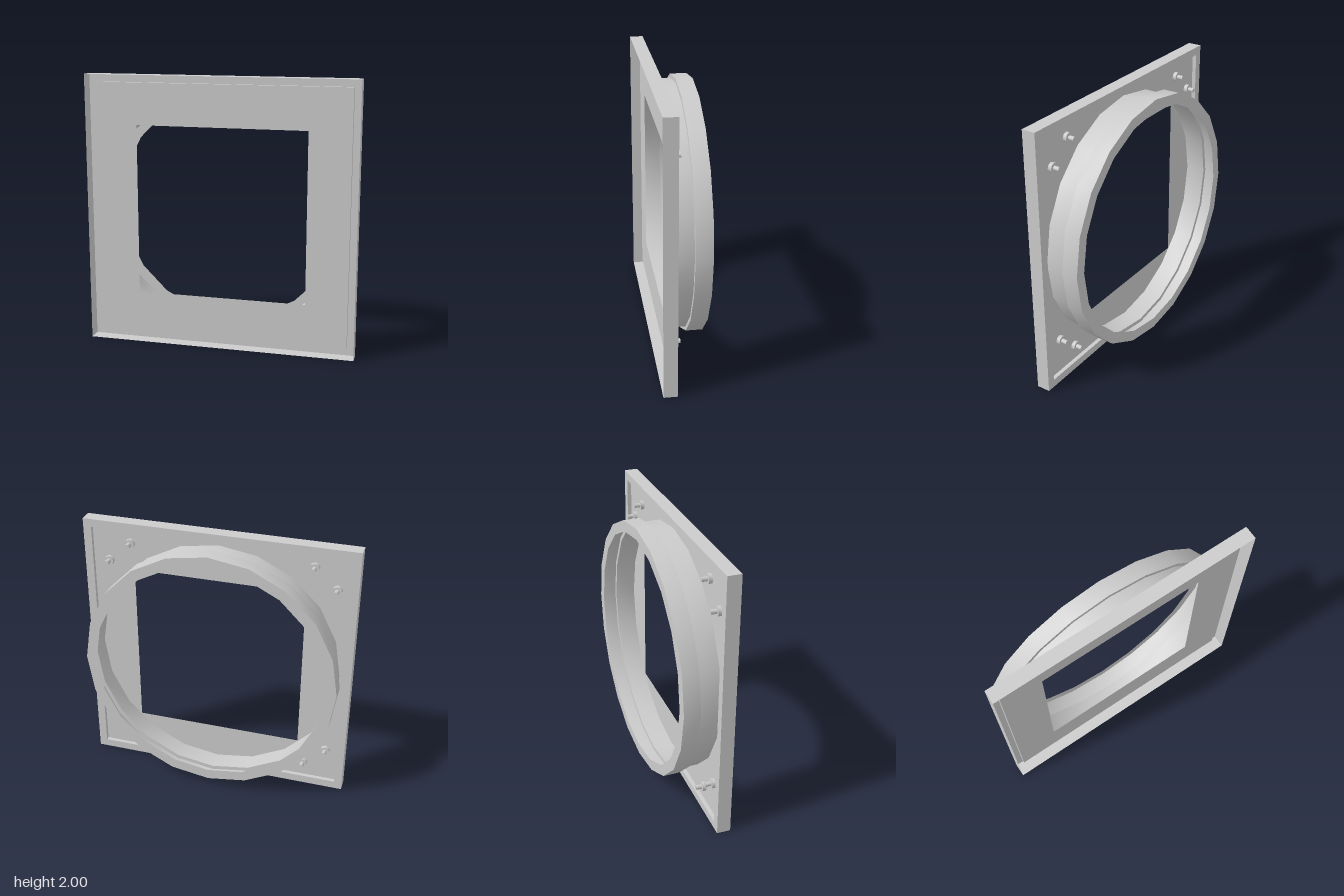
import * as THREE from 'three';
import { toCreasedNormals } from 'three/addons/utils/BufferGeometryUtils.js';

const material = new THREE.MeshStandardMaterial({ color: 0xcccccc, side: THREE.DoubleSide });

// Thin sheet swept round the z axis from [radius, z] points
function sheet(name, profile, sides, startAngle, scale) {
  const points = profile.map(([r, z]) => new THREE.Vector2(r * scale, z));
  const geometry = new THREE.LatheGeometry(points, sides, startAngle).rotateX(Math.PI / 2);
  const mesh = new THREE.Mesh(toCreasedNormals(geometry, 0.5), material);
  mesh.name = name;
  return mesh;
}

// Cylinder along z between two depths
function rod(name, radius, z0, z1, sides) {
  const geometry = new THREE.CylinderGeometry(radius, radius, Math.abs(z1 - z0), sides);
  geometry.rotateX(Math.PI / 2).translate(0, 0, (z0 + z1) / 2);
  const mesh = new THREE.Mesh(toCreasedNormals(geometry, 0.9), material);
  mesh.name = name;
  return mesh;
}

export function createModel() {
  const model = new THREE.Group();
  model.name = 'ductFlange';
  model.position.y = 1;

  // Square pressed plate: panel with window, raised back rim, outer skirt
  model.add(sheet('squarePlate',
    [[0.632, 0.10], [0.94, 0.10], [0.94, 0.07], [1, 0.07], [1, 0.17]],
    4, Math.PI / 4, Math.SQRT2));

  // Round collar: back lip, wide band, step, narrower neck
  model.add(sheet('roundCollar',
    [[0.86, -0.17], [0.94, -0.17], [0.94, -0.05], [0.91, -0.05], [0.91, 0.10]],
    20, 0, 1));

  // Two studs in each corner of the plate
  const xs = { '-1': [-0.685, -0.85], '1': [0.655, 0.82] };
  const ys = { '-1': [-0.67, -0.82], '1': [0.69, 0.84] };
  for (const sx of [-1, 1]) {
    for (const sy of [-1, 1]) {
      for (const i of [0, 1]) {
        const stud = new THREE.Group();
        stud.name = 'stud';
        stud.add(rod('studBase', 0.036, 0.10, 0.073, 8), rod('studPin', 0.017, 0.10, 0.03, 8));
        stud.position.set(xs[sx][i], ys[sy][1 - i], 0);
        model.add(stud);
      }
    }
  }

  const root = new THREE.Group();
  root.name = 'model';
  root.add(model);
  return root;
}
